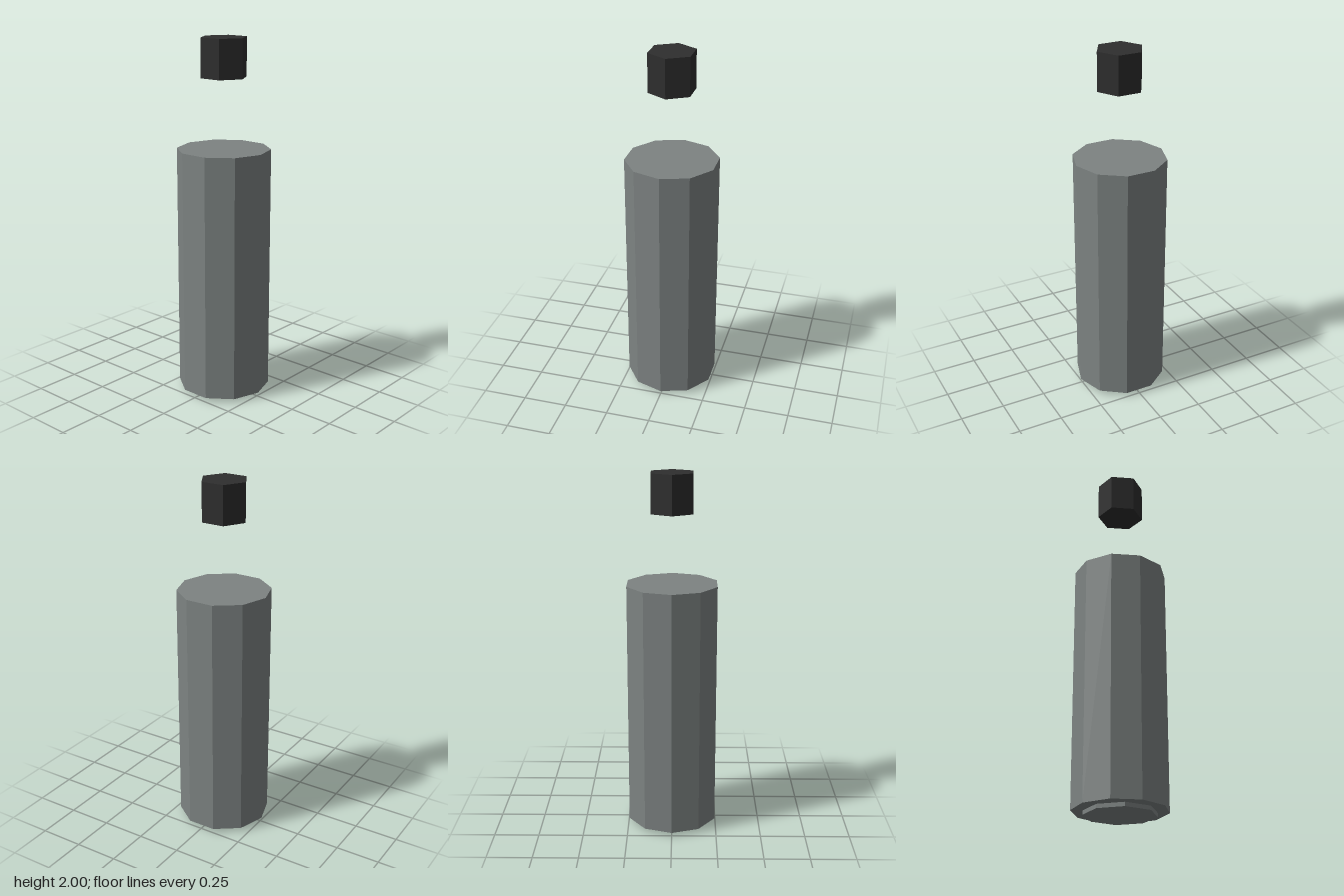
import * as THREE from 'three';

// Upright prism with a corner facing +z, spanning y0 to y1
function prism(name, radius, sides, y0, y1, material) {
  const mesh = new THREE.Mesh(
    new THREE.CylinderGeometry(radius, radius, y1 - y0, sides),
    material
  );
  mesh.name = name;
  mesh.position.y = (y0 + y1) / 2;
  return mesh;
}

export function createModel() {
  const grey = new THREE.MeshStandardMaterial({ color: 0x7d8382, flatShading: true });
  grey.name = 'grey metal';
  const black = new THREE.MeshStandardMaterial({ color: 0x2e2e2e, flatShading: true });
  black.name = 'black';

  const model = new THREE.Group();
  model.name = 'cylinderWithFloatingCap';
  model.add(
    prism('foot', 0.195, 8, 0, 0.022, grey), // shallow foot under the body
    prism('body', 0.258, 10, 0.022, 1.4, grey),
    prism('cap', 0.13, 6, 1.787, 2, black) // floats above the body
  );
  return model;
}
